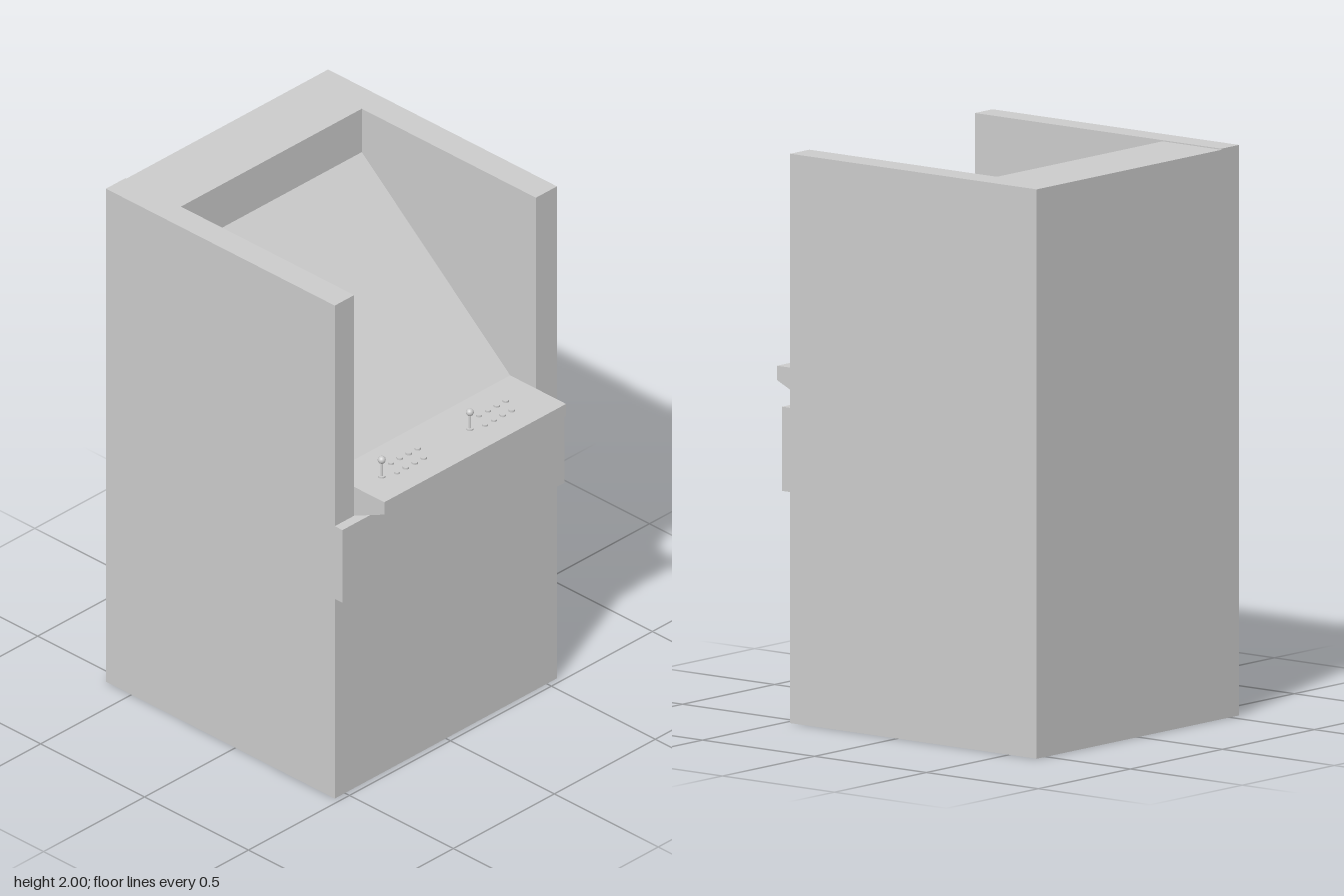
import * as THREE from 'three';

const material = new THREE.MeshStandardMaterial({ color: 0xcccccc });
const HALF = 0.55, INNER_LEFT = 0.446, INNER_RIGHT = -0.454;
const BACK = -0.623, FRONT = 0.478, DECK_Y = 1.222;

function add(parent, name, geometry, x = 0, y = 0, z = 0) {
  const mesh = new THREE.Mesh(geometry, material);
  mesh.name = name;
  mesh.position.set(x, y, z);
  parent.add(mesh);
  return mesh;
}

// Box given by its limits
function block(parent, name, [x0, x1], [y0, y1], [z0, z1]) {
  return add(parent, name, new THREE.BoxGeometry(x1 - x0, y1 - y0, z1 - z0),
    (x0 + x1) / 2, (y0 + y1) / 2, (z0 + z1) / 2);
}

// Side profile of [z, y] points, extruded between the two side walls
function profile(parent, name, points) {
  const shape = new THREE.Shape(points.map(([z, y]) => new THREE.Vector2(z, y)));
  const geometry = new THREE.ExtrudeGeometry(shape, { depth: INNER_LEFT - INNER_RIGHT, bevelEnabled: false });
  geometry.rotateY(-Math.PI / 2);
  return add(parent, name, geometry, INNER_LEFT);
}

// Joystick with its eight buttons in two staggered rows
function playerControls(name, x) {
  const controls = new THREE.Group();
  controls.name = name;
  controls.position.set(x, DECK_Y, 0.5);
  add(controls, 'joystickBase', new THREE.CylinderGeometry(0.013, 0.013, 0.006, 24), 0, 0.003, 0);
  add(controls, 'joystickShaft', new THREE.CylinderGeometry(0.005, 0.005, 0.066, 16), 0, 0.033, 0);
  add(controls, 'joystickBall', new THREE.SphereGeometry(0.014, 24, 16), 0, 0.069, 0);
  for (const [startX, z] of [[0.085, -0.038], [0.055, 0.02]]) {
    for (let i = 0; i < 4; i++) {
      add(controls, 'button', new THREE.CylinderGeometry(0.011, 0.011, 0.007, 20), startX + i * 0.044, 0.0035, z);
    }
  }
  return controls;
}

export function createModel() {
  const cabinet = new THREE.Group();
  cabinet.name = 'arcadeCabinet';

  // Side walls
  block(cabinet, 'rightWall', [-HALF, INNER_RIGHT], [0, 2], [BACK, FRONT]);
  block(cabinet, 'leftWall', [INNER_LEFT, HALF], [0, 1.996], [BACK, FRONT]);

  // Body core: sloping screen face and header at the back
  profile(cabinet, 'bodyAndScreen', [
    [BACK, 0], [FRONT, 0], [FRONT, 1.105], [0.354, 1.105], [0.354, DECK_Y],
    [-0.36, 1.82], [-0.36, 1.996], [BACK, 1.996],
  ]);

  // Control deck with a slanted underside
  profile(cabinet, 'controlDeck', [
    [0.354, 1.105], [FRONT, 1.105], [0.623, 1.172], [0.623, DECK_Y], [0.354, DECK_Y],
  ]);

  // Raised band across the front
  block(cabinet, 'frontBand', [-HALF, HALF], [0.81, 1.105], [FRONT, 0.515]);

  cabinet.add(playerControls('rightPlayerControls', -0.34), playerControls('leftPlayerControls', 0.096));
  return cabinet;
}
